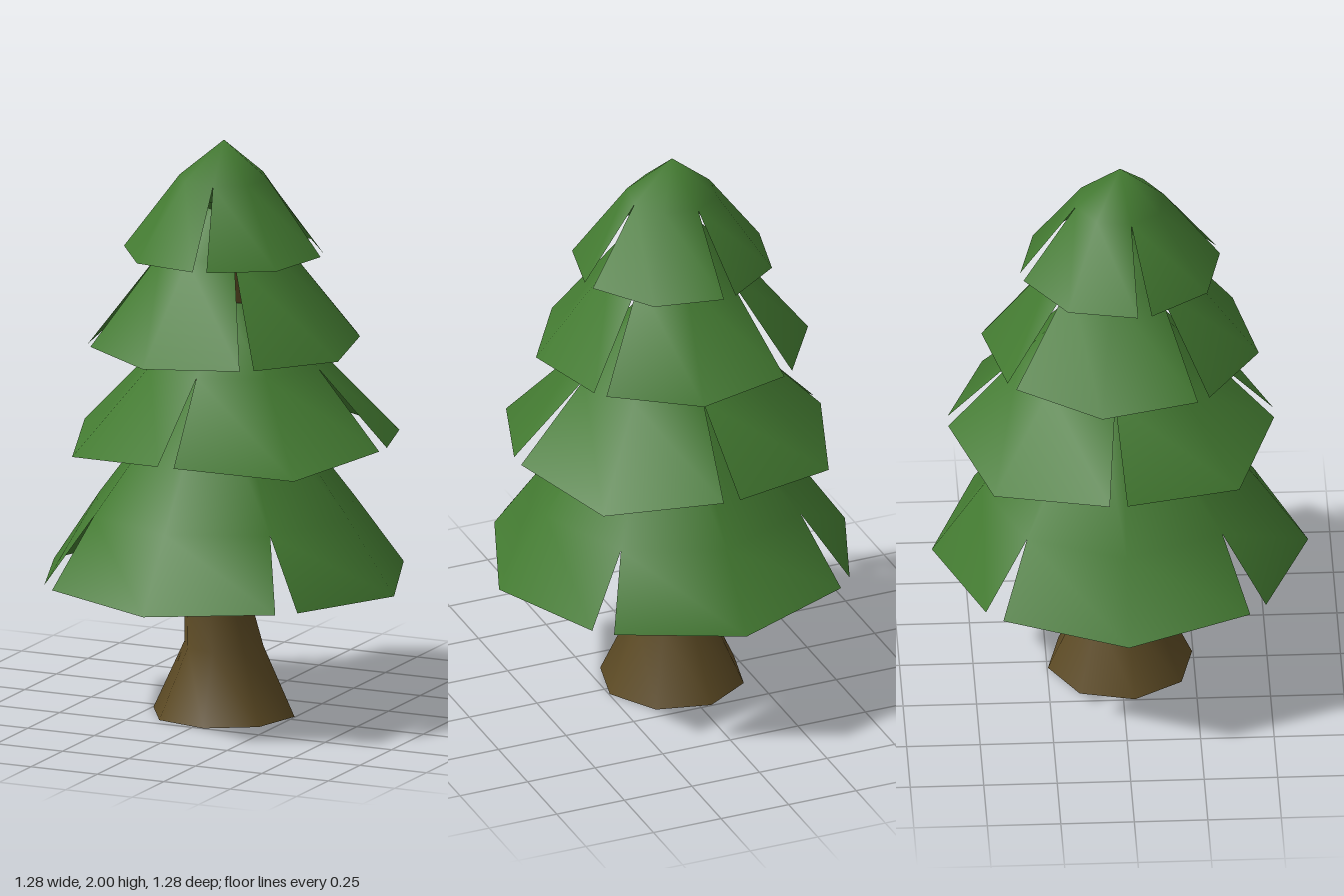
import * as THREE from 'three';

const leafGreen = new THREE.MeshStandardMaterial({ color: 0x437a31, side: THREE.DoubleSide });
leafGreen.name = 'leafGreen';
const barkBrown = new THREE.MeshStandardMaterial({ color: 0x5c4a24 });
barkBrown.name = 'barkBrown';

const rad = THREE.MathUtils.degToRad;

// Collects points and triangles; angles run from +x towards +z
function makeBuilder(cx = 0, cz = 0) {
  const pos = [], idx = [];
  return {
    point(r, y, deg, dz = 0) {
      pos.push(cx + r * Math.cos(rad(deg)), y, cz + dz + r * Math.sin(rad(deg)));
      return pos.length / 3 - 1;
    },
    tri(a, b, c) { idx.push(a, b, c); },
    // lower a (first angle), lower b (next angle), upper c, d
    quad(a, b, c, d) { idx.push(a, c, d, a, d, b); },
    build() {
      const g = new THREE.BufferGeometry();
      g.setAttribute('position', new THREE.Float32BufferAttribute(pos, 3));
      g.setIndex(idx);
      g.computeVertexNormals();
      return g;
    },
  };
}

// Eight-sided open skirt of four petals, split by four tapering slits.
// hem / ring / top are [radius, height]; turn is the angle of a petal's middle.
function tierGeometry({ hem, corner, ring, top, turn, gap, cx, cz }) {
  const b = makeBuilder(cx, cz);
  const closed = top[0] === 0;
  const mids = [], tops = [];
  for (let i = 0; i < 8; i++) {
    mids.push(b.point(...ring, turn + i * 45));
    if (!closed || i === 0) tops.push(b.point(...top, turn + i * 45));
  }
  for (let i = 0; i < 8; i++) {
    const j = (i + 1) % 8;
    if (closed) b.tri(mids[i], tops[0], mids[j]);
    else b.quad(mids[i], mids[j], tops[i], tops[j]);
  }
  for (let p = 0; p < 4; p++) {
    const angle = turn + p * 90, m = p * 2;
    const first = b.point(...corner, angle - 45 + gap);
    const middle = b.point(...hem, angle);
    const last = b.point(...corner, angle + 45 - gap);
    b.quad(first, middle, mids[(m + 7) % 8], mids[m]);
    b.quad(middle, last, mids[m], mids[m + 1]);
  }
  return b.build();
}

// Bent octagonal trunk from [radius, height, z offset] sections
function trunkGeometry() {
  const sections = [[0.25, 0, 0], [0.14, 0.24, 0], [0.11, 0.47, 0.07], [0.1, 0.85, 0.035], [0.12, 1.18, 0], [0.07, 1.7, 0]];
  const b = makeBuilder();
  const rings = sections.map(([r, y, dz]) =>
    Array.from({ length: 8 }, (_, i) => b.point(r, y, i * 45 - 9, dz)));
  for (let k = 0; k < rings.length - 1; k++) {
    for (let i = 0; i < 8; i++) {
      const j = (i + 1) % 8;
      b.quad(rings[k][i], rings[k][j], rings[k + 1][i], rings[k + 1][j]);
    }
  }
  return b.build();
}

export function createModel() {
  const group = new THREE.Group();
  group.name = 'pineTree';

  const add = (name, geometry, material) => {
    const mesh = new THREE.Mesh(geometry, material);
    mesh.name = name;
    group.add(mesh);
    return mesh;
  };

  add('trunk', trunkGeometry(), barkBrown);

  // Flat underside of the trunk
  const base = add('trunkBase', new THREE.CircleGeometry(0.25, 8, rad(9)), barkBrown);
  base.rotation.x = Math.PI / 2;
  base.rotation.z = rad(-18);

  // Foliage from bottom to top
  const tiers = {
    bottomBranches: { hem: [0.64, 0.47], corner: [0.635, 0.485], ring: [0.47, 0.72], top: [0.12, 1.18], turn: 0, gap: 3.6 },
    lowerBranches: { hem: [0.59, 0.935], corner: [0.555, 0.97], ring: [0.31, 1.23], top: [0.11, 1.45], turn: 45, gap: 3.1, cx: 0.03, cz: -0.03 },
    upperBranches: { hem: [0.475, 1.29], corner: [0.465, 1.3], ring: [0.215, 1.62], top: [0.07, 1.77], turn: 10, gap: 3 },
    topBranches: { hem: [0.345, 1.61], corner: [0.345, 1.615], ring: [0.155, 1.87], top: [0, 2], turn: 33.5, gap: 4 },
  };
  for (const [name, tier] of Object.entries(tiers)) add(name, tierGeometry(tier), leafGreen);

  return group;
}
